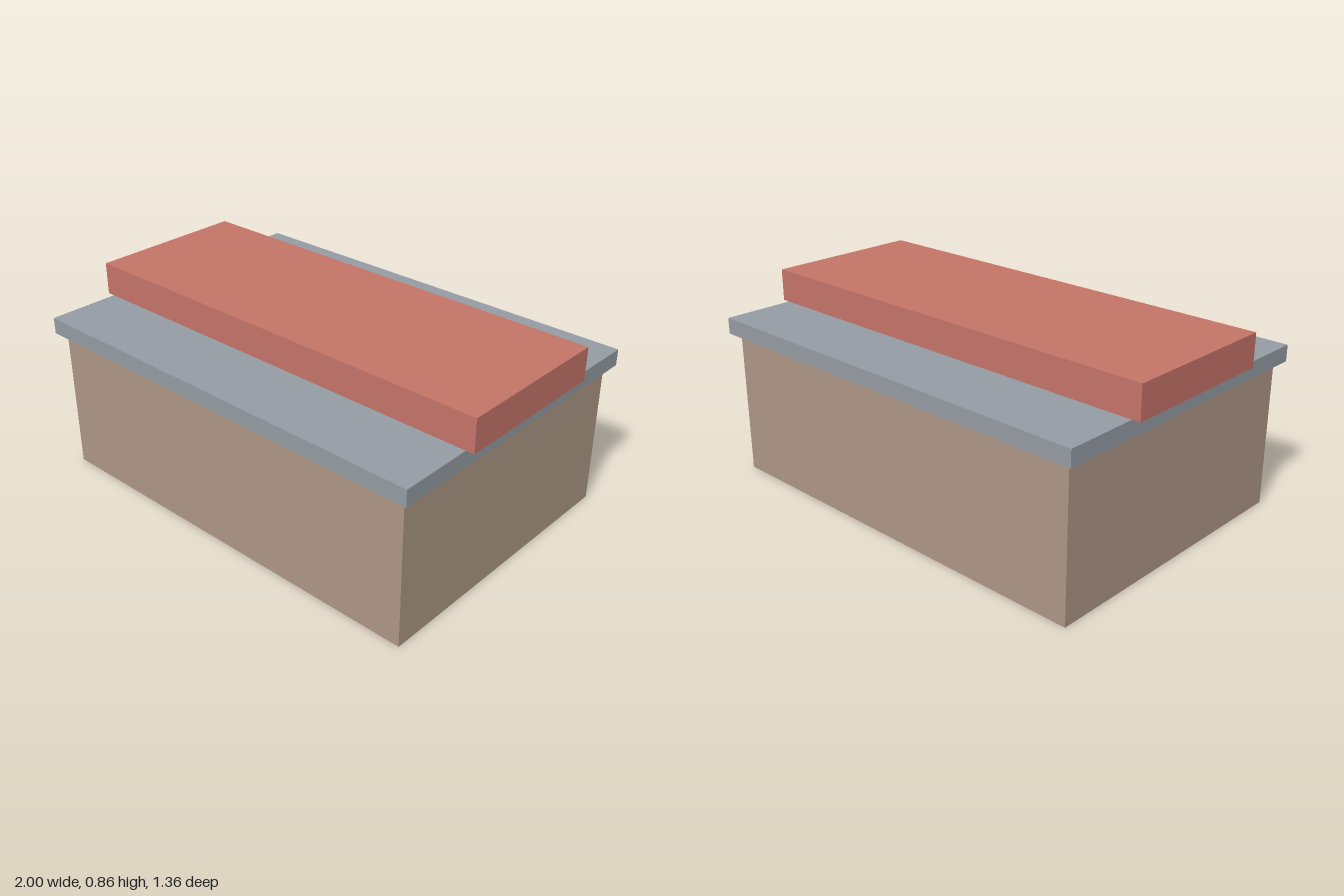
import * as THREE from 'three';

// Everything sits on a regular module of 1/28 unit
const U = 1 / 28;

function material(name, color) {
  const m = new THREE.MeshStandardMaterial({ color });
  m.name = name;
  return m;
}

export function createModel() {
  const group = new THREE.Group();
  group.name = 'coveredBox';

  const tan = material('tan', 0xad9786);
  const grey = material('blue grey', 0x949ca3);
  const red = material('brick red', 0xc57468);

  // Stacked from the ground up: name, width, height, depth, material
  const layers = [
    ['body', 52, 18, 36, tan],
    ['lid', 54, 2, 38, grey],
    ['topBand', 56, 4, 20, red],
  ];

  let y = 0;
  for (const [name, w, h, d, mat] of layers) {
    const mesh = new THREE.Mesh(new THREE.BoxGeometry(w * U, h * U, d * U), mat);
    mesh.name = name;
    mesh.position.y = (y + h / 2) * U;
    group.add(mesh);
    y += h;
  }
  return group;
}
